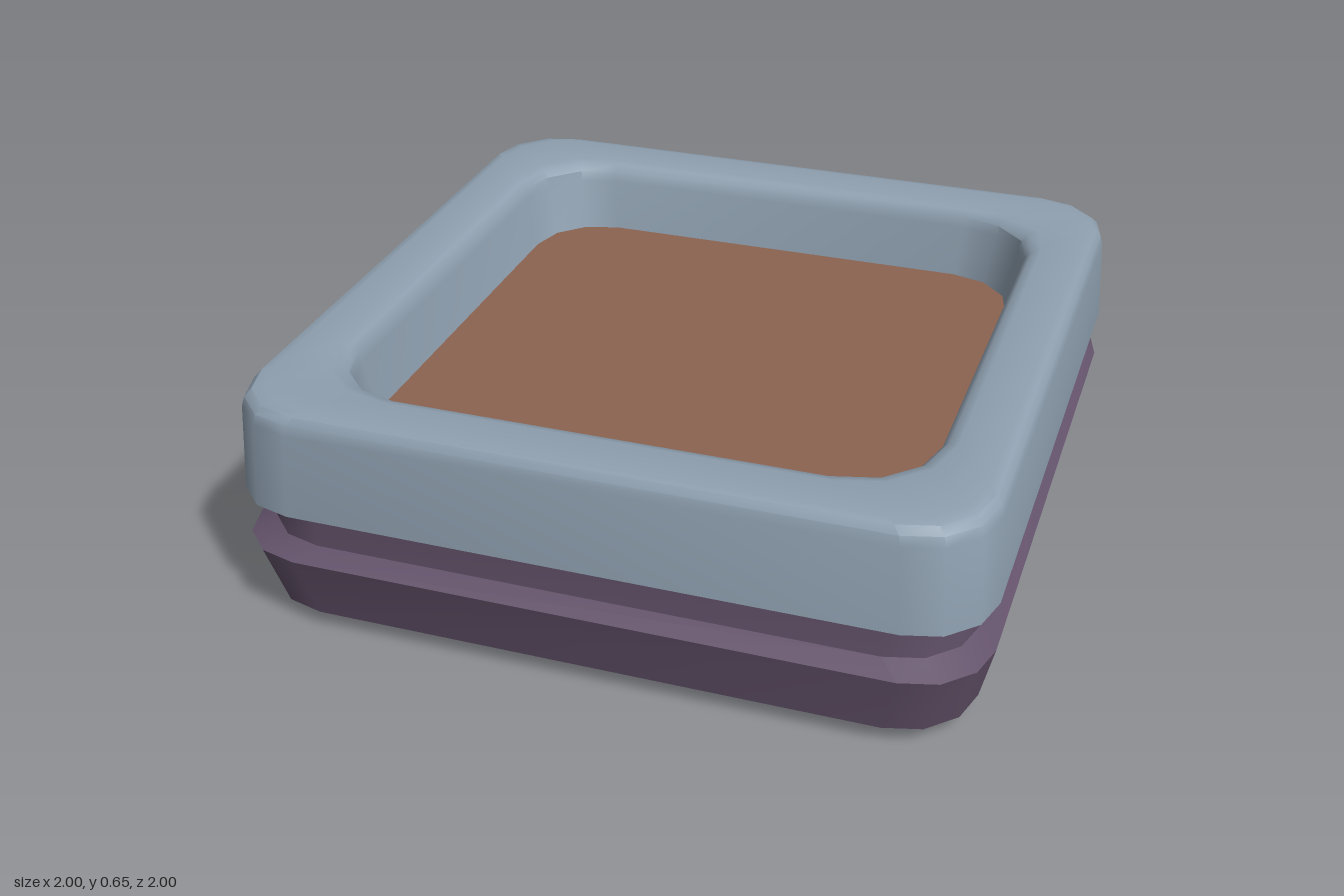
import * as THREE from 'three';
import { toCreasedNormals } from 'three/addons/utils/BufferGeometryUtils.js';

// Rounded square outline: half-size e, corner radius r, three segments per corner
function outline(e, r = 0.2) {
  const pts = [];
  for (let q = 0; q < 4; q++) {
    const mid = (q + 0.5) * Math.PI / 2;
    const cx = Math.sign(Math.cos(mid)) * (e - r);
    const cz = Math.sign(Math.sin(mid)) * (e - r);
    for (let k = 0; k <= 3; k++) {
      const t = (q + k / 3) * Math.PI / 2;
      pts.push(new THREE.Vector2(cx + r * Math.cos(t), cz + r * Math.sin(t)));
    }
  }
  return pts;
}

// Skin a profile of [half-size, height, corner radius] around the square
function loft(profile) {
  const pos = [], index = [], n = 16;
  profile.forEach(([e, y, r]) => outline(e, r).forEach(p => pos.push(p.x, y, p.y)));
  for (let i = 0; i < profile.length - 1; i++) {
    for (let j = 0; j < n; j++) {
      const a = i * n + j, b = i * n + (j + 1) % n;
      index.push(a, a + n, b, b, a + n, b + n);
    }
  }
  const g = new THREE.BufferGeometry();
  g.setAttribute('position', new THREE.Float32BufferAttribute(pos, 3));
  g.setIndex(index);
  return toCreasedNormals(g, 0.6);
}

function part(name, geometry, color) {
  const mesh = new THREE.Mesh(geometry,
    new THREE.MeshStandardMaterial({ color, side: THREE.DoubleSide }));
  mesh.name = name;
  return mesh;
}

export function createModel() {
  const model = new THREE.Group();
  model.name = 'squareTray';

  // Open base shell with a groove below the rim
  model.add(part('base', loft([
    [0.88, 0], [0.96, 0.05], [1, 0.225], [0.95, 0.255], [0.95, 0.335], [1, 0.365],
  ]), 0x63526a));

  // Raised rim with softened edges, sloping down to the panel
  model.add(part('rim', loft([
    [1, 0.365], [0.988, 0.6], [0.982, 0.627], [0.967, 0.645], [0.943, 0.65],
    [0.835, 0.65, 0.25], [0.81, 0.643, 0.24], [0.793, 0.625, 0.23], [0.785, 0.595, 0.22],
    [0.75, 0.45],
  ]), 0x8fa0b0));

  // Flat inset panel
  const panel = part('panel', new THREE.ShapeGeometry(new THREE.Shape(outline(0.75))), 0x8b6350);
  panel.rotation.x = -Math.PI / 2;
  panel.position.y = 0.45;
  model.add(panel);

  return model;
}
